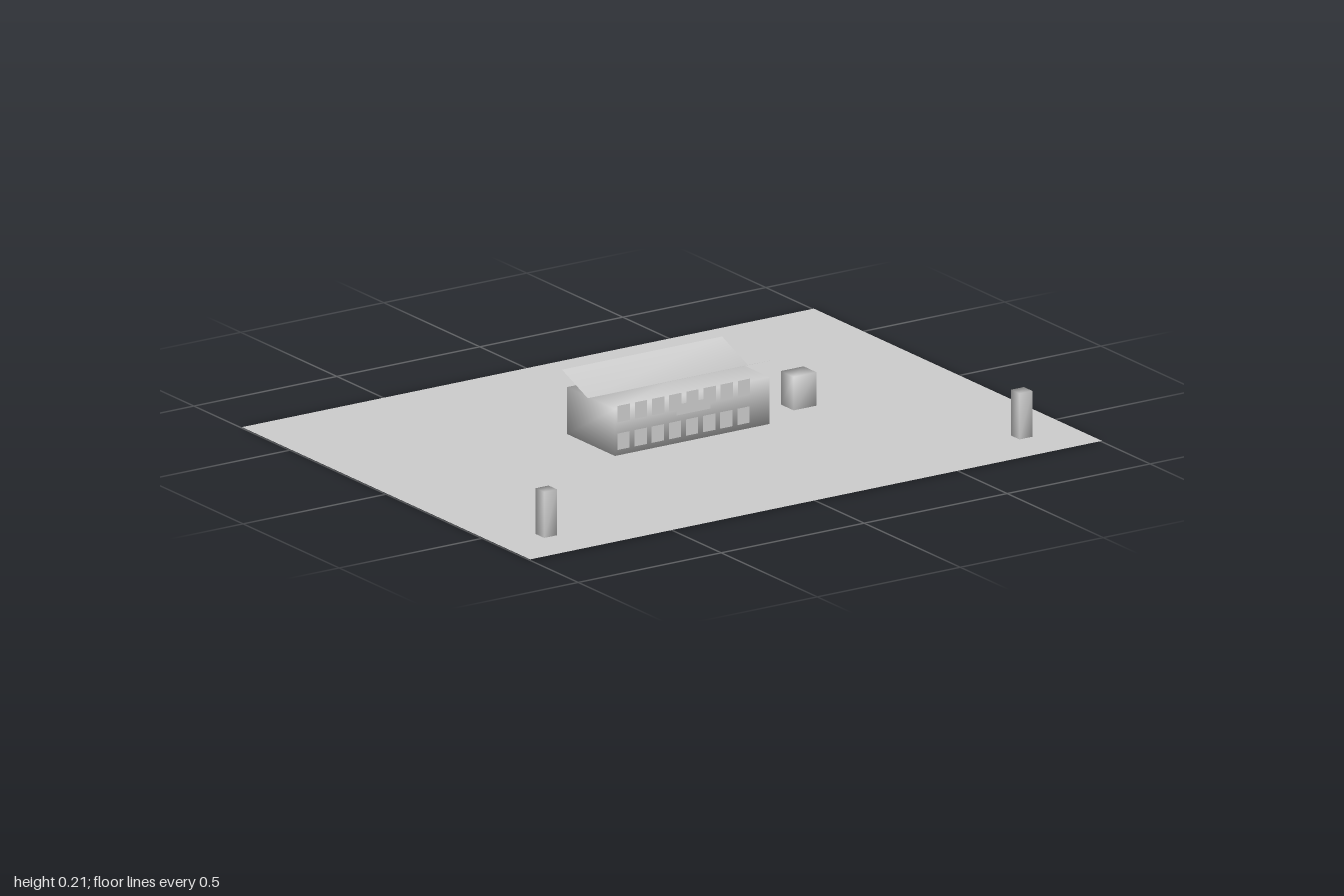
import * as THREE from 'three';
import { mergeVertices } from 'three/addons/utils/BufferGeometryUtils.js';

const grey = new THREE.MeshStandardMaterial({ color: 0xcccccc, side: THREE.DoubleSide });
grey.name = 'light grey';

function addMesh(parent, name, geometry, x = 0, y = 0, z = 0) {
  const mesh = new THREE.Mesh(geometry, grey);
  mesh.name = name;
  mesh.position.set(x, y, z);
  parent.add(mesh);
  return mesh;
}

// box whose corners share one averaged normal, for soft shading
function softBox(w, h, d) {
  const box = new THREE.BoxGeometry(w, h, d);
  box.deleteAttribute('normal');
  box.deleteAttribute('uv');
  const merged = mergeVertices(box);
  merged.computeVertexNormals();
  return merged;
}

// butterfly roof: one folded sheet, low along the middle valley
function roofSheet(halfWidth, profile) {
  const positions = [];
  const index = [];
  profile.forEach(([z, y], i) => {
    positions.push(-halfWidth, y, z, halfWidth, y, z);
    if (i > 0) {
      const a = 2 * (i - 1);
      index.push(a, a + 2, a + 1, a + 1, a + 2, a + 3);
    }
  });
  const geometry = new THREE.BufferGeometry();
  geometry.setAttribute('position', new THREE.Float32BufferAttribute(positions, 3));
  geometry.setIndex(index);
  geometry.computeVertexNormals();
  return geometry;
}

export function createModel() {
  const model = new THREE.Group();
  model.name = 'buildingOnPlot';

  // flat plot of land
  addMesh(model, 'ground', new THREE.PlaneGeometry(2, 1.5).rotateX(-Math.PI / 2), 0, 0.003, 0);

  // main building
  const building = new THREE.Group();
  building.name = 'building';
  model.add(building);
  addMesh(building, 'walls', softBox(0.54, 0.143, 0.25), 0, 0.0845, -0.02);
  addMesh(building, 'roof', roofSheet(0.28, [[-0.156, 0.208], [-0.022, 0.157], [0.111, 0.208]]));

  // two rows of eight windows on the front wall
  const pane = new THREE.PlaneGeometry(0.043, 0.05);
  for (let i = 0; i < 8; i++) {
    const x = -0.241 + i * 0.06;
    addMesh(building, 'upperWindow', pane, x, 0.14, 0.108);
    addMesh(building, 'lowerWindow', pane, x, 0.055, 0.106);
  }

  // blank board over the entrance
  addMesh(building, 'signBoard', new THREE.PlaneGeometry(0.118, 0.033), -0.001, 0.117, 0.113);

  // small shed beside the building
  addMesh(model, 'shed', softBox(0.08, 0.105, 0.067), 0.457, 0.0525, -0.021);

  // pair of posts at the front corners
  for (const side of [-1, 1]) {
    addMesh(model, side < 0 ? 'rightPost' : 'leftPost', softBox(0.045, 0.143, 0.044), side * 0.831, 0.0715, 0.583);
  }

  return model;
}
